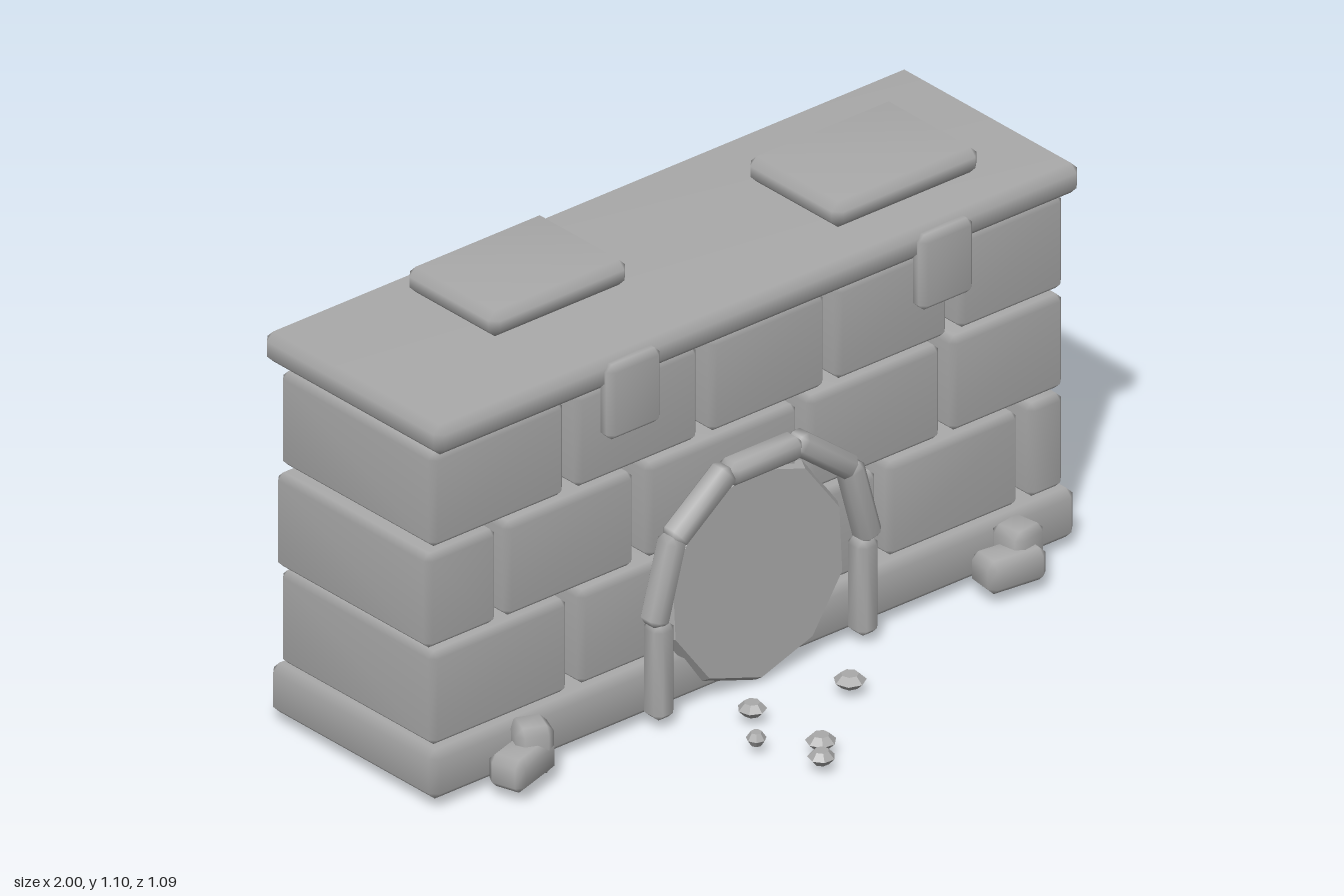
import * as THREE from 'three';
import { mergeVertices } from 'three/addons/utils/BufferGeometryUtils.js';
import { ConvexGeometry } from 'three/addons/geometries/ConvexGeometry.js';

const stone = new THREE.MeshStandardMaterial({ color: 0xaaaaaa });
stone.name = 'stone grey';

// Box with chamfered edges and softened normals
function chamferBox(w, h, d, bevel) {
  const points = [];
  for (const x of [-1, 1]) for (const y of [-1, 1]) for (const z of [-1, 1]) {
    for (let axis = 0; axis < 3; axis++) {
      const half = [w / 2, h / 2, d / 2].map((s, i) => (i === axis ? s : s - bevel));
      points.push(new THREE.Vector3(x * half[0], y * half[1], z * half[2]));
    }
  }
  let geometry = new ConvexGeometry(points);
  geometry.deleteAttribute('normal');
  geometry = mergeVertices(geometry, 1e-5);
  geometry.computeVertexNormals();
  return geometry;
}

// Low-poly disc with a bevelled rim, axis along y
function bevelDisc(radius, half, inner, sides) {
  const profile = [[0, -half], [inner, -half], [radius, 0], [inner, half], [0, half]];
  const lathe = new THREE.LatheGeometry(profile.map(p => new THREE.Vector2(...p)), sides);
  const geometry = lathe.toNonIndexed();
  geometry.computeVertexNormals();
  return geometry;
}

export function createModel() {
  const model = new THREE.Group();
  model.name = 'stoneWall';

  const add = (name, geometry, x, y, z) => {
    const mesh = new THREE.Mesh(geometry, stone);
    mesh.name = name;
    mesh.position.set(x, y, z);
    model.add(mesh);
    return mesh;
  };
  // Chamfered block given by its limits on each axis
  const block = (name, [x0, x1], [y0, y1], [z0, z1], bevel = 0.016) =>
    add(name, chamferBox(x1 - x0, y1 - y0, z1 - z0, bevel),
      (x0 + x1) / 2, (y0 + y1) / 2, (z0 + z1) / 2);

  // Footing and coping slab
  block('base', [-1, 1], [0.03, 0.162], [-0.525, 0.075], 0.02);
  block('copingSlab', [-1, 1], [0.962, 1.042], [-0.548, 0.093], 0.02);

  // Three staggered courses of full-depth blocks
  const courses = [
    { y: [0.165, 0.415], x: [[-0.985, -0.56], [-0.525, -0.15], [-0.115, 0.4], [0.433, 0.84], [0.872, 0.98]] },
    { y: [0.43, 0.682], x: [[-1, -0.78], [-0.755, -0.353], [-0.315, 0.155], [0.187, 0.598], [0.63, 0.98]] },
    { y: [0.697, 0.948], x: [[-0.985, -0.57], [-0.535, -0.155], [-0.118, 0.24], [0.273, 0.62], [0.655, 0.98]] },
  ];
  for (const course of courses)
    for (const span of course.x) block('wallBlock', span, course.y, [-0.503, 0.053]);

  // Loose plates on top
  block('topPlate', [-0.62, -0.195], [1.042, 1.11], [-0.475, -0.15], 0.02);
  block('topPlate', [0.34, 0.79], [1.042, 1.11], [-0.36, -0.027], 0.02);

  // Stones hanging over the front edge
  for (const x of [-0.485, 0.485])
    block('hangingStone', [x, x + 0.165], [0.83, 1.03], [0.062, 0.115]);

  // Arch surround: two posts, a keystone and two leaning stones per side
  const archStone = (x0, y0, x1, y1) => {
    const length = Math.hypot(x1 - x0, y1 - y0);
    const mesh = add('archStone', chamferBox(0.062, length, 0.066, 0.016),
      (x0 + x1) / 2, (y0 + y1) / 2, 0.093);
    mesh.rotation.z = Math.atan2(y1 - y0, x1 - x0) - Math.PI / 2;
  };
  for (const s of [-1, 1]) {
    archStone(s * 0.317, 0.03, s * 0.317, 0.285);
    archStone(s * 0.333, 0.28, s * 0.272, 0.5);
    archStone(s * 0.278, 0.485, s * 0.103, 0.62);
  }
  archStone(-0.112, 0.607, 0.112, 0.607);

  // Ten-sided plug filling the arch, leaning back slightly
  const plug = add('archPlug', bevelDisc(0.287, 0.024, 0.272, 10).rotateX(Math.PI / 2), 0, 0.292, 0.057);
  plug.rotation.x = -0.06;

  // Fallen rocks at the foot of the wall
  const rock = (x, z, w, h, d, turn) => {
    add('fallenRock', chamferBox(w, h, d, 0.018), x, 0.035 + h / 2, z).rotation.y = turn;
  };
  rock(-0.765, 0.12, 0.165, 0.087, 0.1, 0.3);
  rock(-0.72, 0.1, 0.095, 0.128, 0.095, -0.4);
  rock(0.73, 0.14, 0.165, 0.087, 0.1, -0.12);
  rock(0.78, 0.115, 0.1, 0.128, 0.1, 0.15);

  // Pebbles scattered in front: x, z, radius
  const pebbles = [[-0.145, 0.23, 0.036], [0.12, 0.275, 0.04], [-0.233, 0.347, 0.025],
    [-0.125, 0.455, 0.038], [-0.175, 0.515, 0.034]];
  pebbles.forEach(([x, z, r], i) => {
    add('pebble', bevelDisc(r, 0.017, r * 0.55, 7), x, 0.046, z).rotation.y = i;
  });

  return model;
}
